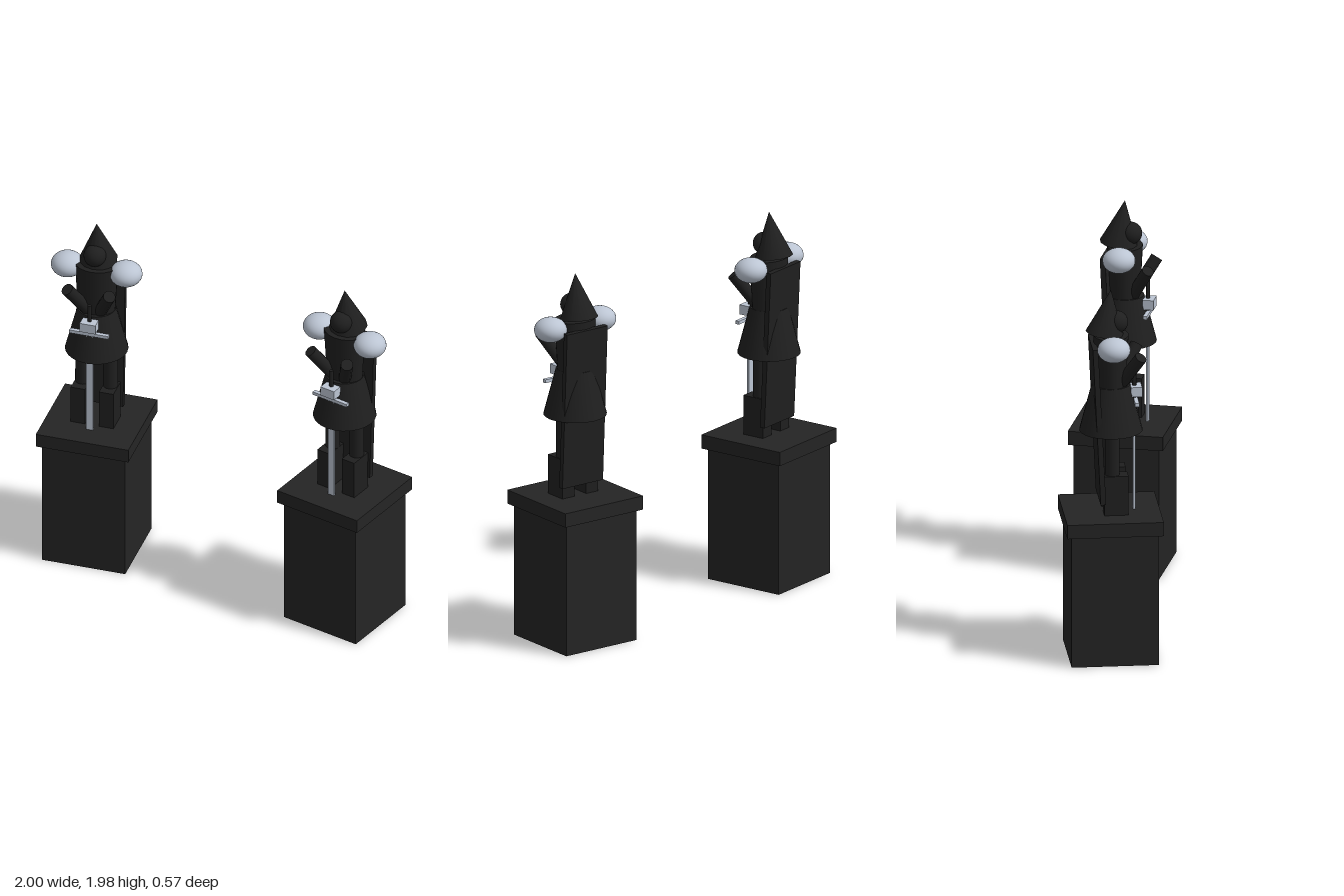
import * as THREE from 'three';

const mat = (name, color, flatShading = false) => {
  const m = new THREE.MeshStandardMaterial({ color });
  m.name = name;
  m.flatShading = flatShading;
  return m;
};

export function createModel() {
  const stone = mat('dark stone', 0x242424);
  const bronze = mat('blackened bronze', 0x1f1f1f);
  const silver = mat('silver', 0xbcc5d3);

  const add = (parent, name, geometry, material, x, y, z) => {
    const mesh = new THREE.Mesh(geometry, material);
    mesh.name = name;
    mesh.position.set(x, y, z);
    parent.add(mesh);
    return mesh;
  };
  const box = (w, h, d) => new THREE.BoxGeometry(w, h, d);
  const cyl = (top, bottom, h, n = 20) => new THREE.CylinderGeometry(top, bottom, h, n);

  // Cylinder running between two points
  const rod = (parent, name, a, b, r, material) => {
    const dir = b.clone().sub(a);
    const mid = a.clone().add(b).multiplyScalar(0.5);
    const mesh = add(parent, name, cyl(r, r, dir.length(), 12), material, mid.x, mid.y, mid.z);
    mesh.quaternion.setFromUnitVectors(new THREE.Vector3(0, 1, 0), dir.normalize());
  };

  function makeStatue(name) {
    const g = new THREE.Group();
    g.name = name;

    // Pedestal
    add(g, 'pedestal', box(0.453, 0.715, 0.453), stone, 0, 0.3575, 0);
    add(g, 'pedestalCap', box(0.502, 0.075, 0.502), stone, 0, 0.7495, 0);

    // Legs, arms and shoulder pads
    for (const s of [-1, 1]) {
      const side = s > 0 ? 'left' : 'right';
      add(g, side + 'Boot', box(0.078, 0.215, 0.125), bronze, s * 0.077, 0.892, 0.018);
      add(g, side + 'Leg', cyl(0.038, 0.038, 0.3), bronze, s * 0.075, 1.12, 0);
      rod(g, side + 'Arm', new THREE.Vector3(s * 0.115, 1.645, 0.145),
        new THREE.Vector3(s * 0.02, 1.45, 0.03), 0.033, bronze);
      add(g, side + 'ShoulderPad', new THREE.SphereGeometry(0.086, 24, 16), silver, s * 0.159, 1.707, 0)
        .scale.y = 0.76;
    }

    // Tunic
    add(g, 'torso', cyl(0.115, 0.095, 0.34), bronze, 0, 1.57, 0).scale.z = 0.8;
    add(g, 'skirt', cyl(0.1, 0.165, 0.25, 24), bronze, 0, 1.345, 0);

    // Cape, leaning in towards the feet
    add(g, 'cape', box(0.262, 0.85, 0.028), bronze, 0, 1.275, -0.072).rotation.x = -0.048;

    // Head and tilted pointed hat
    add(g, 'head', new THREE.SphereGeometry(0.059, 20, 14), bronze, 0, 1.807, 0.031);
    add(g, 'hat', new THREE.ConeGeometry(0.1, 0.237, 12), bronze, 0, 1.8665, -0.0165).rotation.x = 0.14;

    // Sword standing point down
    add(g, 'swordBlade', box(0.038, 0.6, 0.012), silver, 0, 1.087, 0.12);
    add(g, 'swordGuard', box(0.212, 0.018, 0.022), silver, 0, 1.383, 0.127);
    add(g, 'swordBlock', box(0.085, 0.052, 0.058), silver, 0, 1.432, 0.13);
    add(g, 'swordGrip', cyl(0.011, 0.011, 0.17, 6), bronze, 0, 1.47, 0.122);
    return g;
  }

  // Two statues turned slightly towards each other
  const model = new THREE.Group();
  model.name = 'statuePair';
  for (const s of [-1, 1]) {
    const statue = makeStatue(s > 0 ? 'leftStatue' : 'rightStatue');
    statue.position.x = s * 0.715;
    statue.rotation.y = -s * 0.15;
    model.add(statue);
  }
  return model;
}
